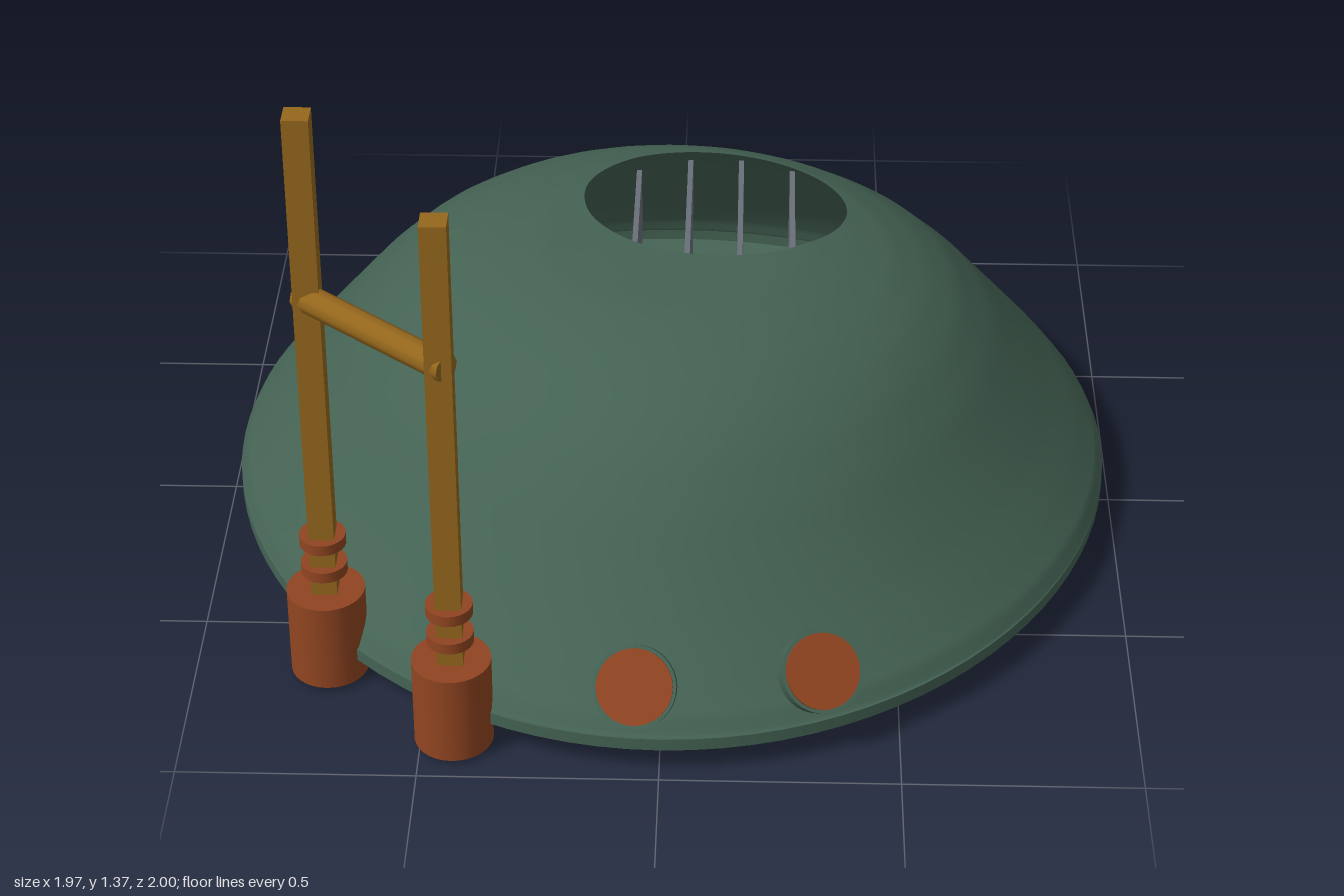
import * as THREE from 'three';

export function createModel() {
  const model = new THREE.Group();
  const mat = (name, color, side = THREE.FrontSide) => {
    const m = new THREE.MeshStandardMaterial({ color, side });
    m.name = name;
    return m;
  };
  const green = mat('hull green', 0x446253, THREE.DoubleSide);
  const rust = mat('rust', 0x914521);
  const brass = mat('brass', 0x95671c);
  const grey = mat('vent grey', 0x6a7078);

  const add = (name, geo, material, x = 0, y = 0, z = 0, parent = model) => {
    const mesh = new THREE.Mesh(geo, material);
    mesh.name = name;
    mesh.position.set(x, y, z);
    parent.add(mesh);
    return mesh;
  };

  // Closed rings joined into a smooth surface; point(i, cos, sin) gives [x, y, z]
  const seg = 96;
  const ringSurface = (count, point) => {
    const pos = [], index = [];
    for (let i = 0; i < count; i++) {
      for (let j = 0; j < seg; j++) {
        const a = j / seg * Math.PI * 2;
        pos.push(...point(i, Math.cos(a), Math.sin(a)));
        if (i < count - 1) {
          const p = i * seg + j, q = i * seg + (j + 1) % seg;
          index.push(p, q, p + seg, q, q + seg, p + seg);
        }
      }
    }
    const geo = new THREE.BufferGeometry();
    geo.setAttribute('position', new THREE.Float32BufferAttribute(pos, 3));
    geo.setIndex(index);
    geo.computeVertexNormals();
    return geo;
  };

  // Dome shell: rings blend from the offset vent opening to the egg-shaped rim
  const profile = [[0, 0.667], [0.15, 0.664], [0.3, 0.655], [0.4, 0.633], [0.49, 0.602], [0.57, 0.56],
    [0.64, 0.508], [0.72, 0.425], [0.79, 0.337], [0.86, 0.252], [0.92, 0.183], [0.97, 0.122], [0.985, 0.09]];
  const height = (r) => {
    for (let i = 1; i < profile.length; i++) {
      const [r0, y0] = profile[i - 1], [r1, y1] = profile[i];
      if (r <= r1) return y0 + (y1 - y0) * (r - r0) / (r1 - r0);
    }
    return 0.09;
  };
  const RX = 0.985, RZ = 0.99, CZ = -0.01, RIM = 0.062;
  const egg = (c) => CZ - 0.08 * c * c;
  const hole = { x: 0.095, z: -0.235, rx: 0.296, rz: 0.262 };
  const rings = 48;
  const dome = ringSurface(rings + 2, (i, c, s) => {
    const t = Math.sin(Math.min(i / rings, 1) * Math.PI / 2);
    const x = THREE.MathUtils.lerp(hole.x + hole.rx * c, RX * c, t);
    const z = THREE.MathUtils.lerp(hole.z + hole.rz * s, RZ * s, t);
    // the summit leans to the back; the last ring drops straight down as the rim band
    const y = height(Math.hypot(x, z + 0.05 * (1 - t ** 8)));
    return [x, i > rings ? RIM : y, z + egg(c) * t];
  });
  add('domeShell', dome, green);

  // Underside: sloping skirt closing to a flat bottom
  const underside = [[1, RIM], [0.83, 0.004], [0.5, 0], [0, 0]];
  add('base', ringSurface(underside.length, (i, c, s) => {
    const [k, y] = underside[i];
    return [RX * c * k, y, (RZ * s + egg(c)) * k];
  }).scale(1, 1, 1), green);

  // Vent slats, each as long as the opening at its place
  for (let i = 0; i < 4; i++) {
    const x = -0.085 + i * 0.118;
    const half = hole.rz * Math.sqrt(1 - ((x - hole.x) / hole.rx) ** 2) + 0.02;
    add('ventSlat', new THREE.BoxGeometry(0.012, 0.36, half * 2), grey, x, 0.405, hole.z);
  }

  // Two masts in rust sockets with collars
  const masts = [[-0.713, 0.65, 1.37], [-0.43, 0.88, 1.275]];
  for (const [x, z, top] of masts) {
    const mast = new THREE.Group();
    mast.name = 'mast';
    mast.position.set(x, 0, z);
    model.add(mast);
    add('socket', new THREE.CylinderGeometry(0.083, 0.083, 0.206, 32), rust, 0, 0.113, 0, mast);
    add('pole', new THREE.BoxGeometry(0.054, top - 0.2, 0.054), brass, 0, (top + 0.2) / 2, 0, mast);
    for (const y of [0.275, 0.346]) {
      add('collar', new THREE.CylinderGeometry(0.049, 0.049, 0.025, 24), rust, 0, y, 0, mast);
    }
  }

  // Crossbar joining the masts
  const dir = new THREE.Vector3(0.283, 0, 0.23);
  const bar = add('crossbar', new THREE.CylinderGeometry(0.03, 0.03, dir.length() + 0.04, 10), brass,
    -0.5715, 0.945, 0.768);
  bar.quaternion.setFromUnitVectors(new THREE.Vector3(0, 1, 0), dir.clone().normalize());

  // Round lamps facing outward and up from the lower dome
  for (const [x, z] of [[-0.05, 0.932], [0.33, 0.872]]) {
    const lamp = new THREE.Group();
    lamp.name = 'lamp';
    lamp.position.set(x, 0.189, z);
    const phi = Math.atan2(x, z), e = 0.66;
    const normal = new THREE.Vector3(Math.sin(phi) * Math.cos(e), Math.sin(e), Math.cos(phi) * Math.cos(e));
    lamp.quaternion.setFromUnitVectors(new THREE.Vector3(0, 1, 0), normal);
    model.add(lamp);
    add('lampHousing', new THREE.CylinderGeometry(0.086, 0.086, 0.035, 32), green, 0, -0.003, 0, lamp);
    add('lampFace', new THREE.CylinderGeometry(0.079, 0.079, 0.009, 32), rust, 0, 0.018, 0, lamp);
  }
  return model;
}
